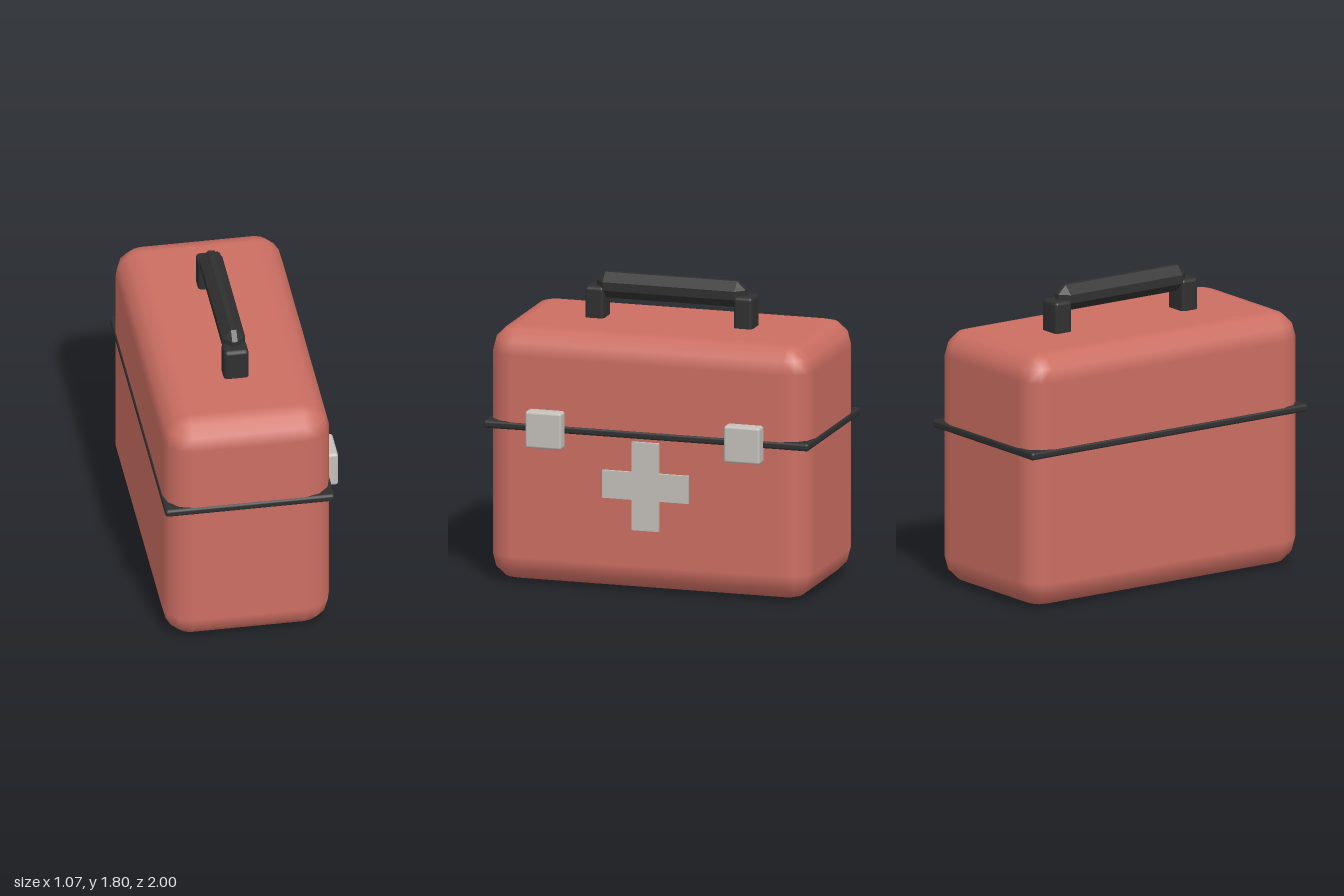
import * as THREE from 'three';
import { ConvexGeometry } from 'three/addons/geometries/ConvexGeometry.js';

// Box with bevelled edges; normals are smooth unless flat is set
function bevelBox(w, h, d, r, segs, flat = false) {
  const inner = new THREE.Vector3(w / 2 - r, h / 2 - r, d / 2 - r);
  const points = [];
  for (const sx of [-1, 1]) for (const sy of [-1, 1]) for (const sz of [-1, 1]) {
    for (let i = 0; i <= segs; i++) {
      const lat = (i / segs) * Math.PI / 2;
      const steps = i === segs ? 0 : segs; // single point at the pole
      for (let j = 0; j <= steps; j++) {
        const lon = (j / segs) * Math.PI / 2;
        points.push(new THREE.Vector3(
          sx * (inner.x + r * Math.cos(lat) * Math.cos(lon)),
          sy * (inner.y + r * Math.sin(lat)),
          sz * (inner.z + r * Math.cos(lat) * Math.sin(lon))));
      }
    }
  }
  const geometry = new ConvexGeometry(points);
  if (!flat) {
    const pos = geometry.attributes.position;
    const p = new THREE.Vector3(), c = new THREE.Vector3(), low = inner.clone().negate();
    for (let i = 0; i < pos.count; i++) {
      p.fromBufferAttribute(pos, i);
      c.copy(p).clamp(low, inner);
      p.sub(c).normalize();
      geometry.attributes.normal.setXYZ(i, p.x, p.y, p.z);
    }
  }
  return geometry;
}

export function createModel() {
  const group = new THREE.Group();
  group.name = 'firstAidCase';

  const material = (name, color) => {
    const m = new THREE.MeshStandardMaterial({ color });
    m.name = name;
    return m;
  };
  const red = material('caseRed', 0xcc6e62);
  const dark = material('trimBlack', 0x303030);
  const grey = material('lightGrey', 0xc4c0bb);

  const add = (name, geometry, mat, x, y, z) => {
    const mesh = new THREE.Mesh(geometry, mat);
    mesh.name = name;
    mesh.position.set(x, y, z);
    group.add(mesh);
    return mesh;
  };

  const cx = -0.035; // the latches push the case off centre

  // Case and the seam band between lid and base
  add('caseBody', bevelBox(0.99, 1.53, 1.98, 0.16, 3), red, cx, 0.765, 0);
  add('seamBand', bevelBox(1.005, 0.047, 2, 0.016, 3), dark, cx, 0.948, 0);

  // Handle: two posts and a chamfered grip
  for (const s of [-1, 1]) {
    add(s > 0 ? 'frontHandlePost' : 'backHandlePost',
      bevelBox(0.148, 0.24, 0.118, 0.022, 3), dark, cx, 1.598, s * 0.457);
  }
  add('handleGrip', bevelBox(0.136, 0.155, 0.915, 0.052, 1, true), dark, cx, 1.7225, 0);

  // Latches across the seam
  for (const s of [-1, 1]) {
    add(s > 0 ? 'frontLatch' : 'backLatch',
      bevelBox(0.105, 0.222, 0.222, 0.016, 3), grey, 0.4825, 0.95, s * 0.611);
  }

  // Raised cross on the latch side
  const a = 0.083, b = 0.265;
  const outline = [[a, b], [-a, b], [-a, a], [-b, a], [-b, -a], [-a, -a],
    [-a, -b], [a, -b], [a, -a], [b, -a], [b, a], [a, a]];
  const shape = new THREE.Shape(outline.map(([x, y]) => new THREE.Vector2(x, y)));
  const cross = add('crossEmblem',
    new THREE.ExtrudeGeometry(shape, { depth: 0.03, bevelEnabled: false }), grey, 0.45, 0.645, 0);
  cross.rotation.y = Math.PI / 2;

  return group;
}
